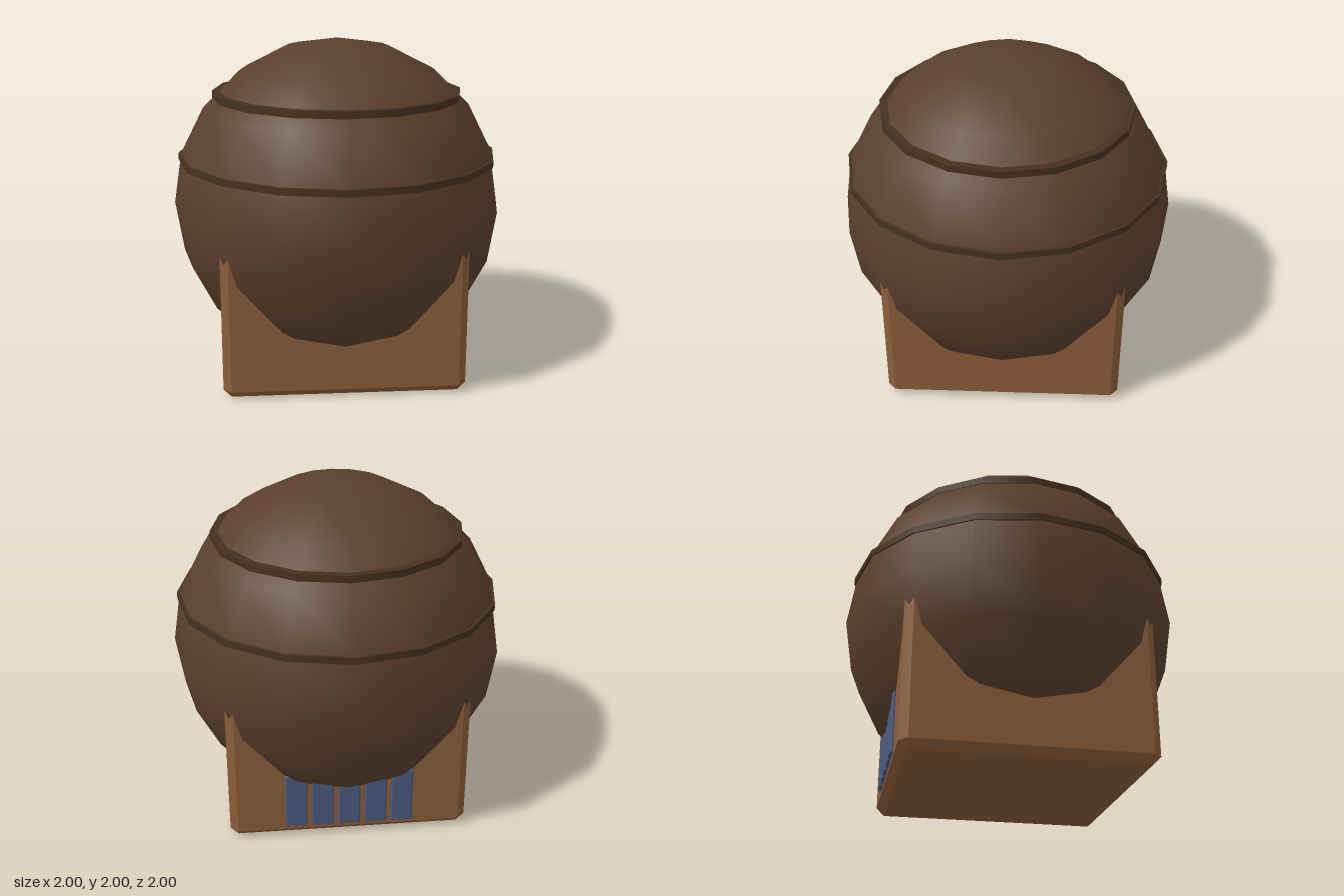
import * as THREE from 'three';
import { ConvexGeometry } from 'three/addons/geometries/ConvexGeometry.js';

// Box with flat chamfers on every edge, centred on the origin
function chamferBox(w, h, d, c) {
  const points = [];
  for (const sx of [-1, 1]) for (const sy of [-1, 1]) for (const sz of [-1, 1]) {
    const x = w / 2, y = h / 2, z = d / 2;
    points.push(
      new THREE.Vector3(sx * x, sy * (y - c), sz * (z - c)),
      new THREE.Vector3(sx * (x - c), sy * y, sz * (z - c)),
      new THREE.Vector3(sx * (x - c), sy * (y - c), sz * z)
    );
  }
  return new ConvexGeometry(points);
}

export function createModel() {
  const model = new THREE.Group();
  const baseMat = new THREE.MeshStandardMaterial({ color: 0x8b5e3a });
  const domeMat = new THREE.MeshStandardMaterial({ color: 0x5a3f2c });
  const bandMat = new THREE.MeshStandardMaterial({ color: 0x46311f });
  const slatMat = new THREE.MeshStandardMaterial({ color: 0x4a5a7c });

  const add = (name, geometry, material, x, y, z, parent = model) => {
    const mesh = new THREE.Mesh(geometry, material);
    mesh.name = name;
    mesh.position.set(x, y, z);
    parent.add(mesh);
  };

  // Square base; its top is hidden inside the ball
  add('base', chamferBox(1.42, 1.05, 1.42, 0.047), baseMat, 0, 0.525, 0);

  // Big low-poly ball, raised a hair so its pole stays inside the base
  const ball = new THREE.SphereGeometry(1, 16, 10);
  const pos = ball.attributes.position;
  for (let i = 0; i < pos.count; i++) pos.setY(i, Math.max(pos.getY(i), -0.99));
  add('ball', ball, domeMat, 0, 1, 0);

  // Two raised bands round the ball
  add('upperBand', new THREE.CylinderGeometry(0.753, 0.753, 0.042, 16), bandMat, 0, 1.669, 0);
  add('lowerBand', new THREE.CylinderGeometry(0.967, 0.967, 0.04, 16), bandMat, 0, 1.291, 0);

  // Row of vent slats on the back of the base
  const vent = new THREE.Group();
  vent.name = 'vent';
  const slat = chamferBox(0.13, 0.36, 0.04, 0.008);
  for (let i = -2; i <= 2; i++) add('ventSlat', slat, slatMat, i * 0.157, 0.25, -0.707, vent);
  model.add(vent);

  return model;
}
